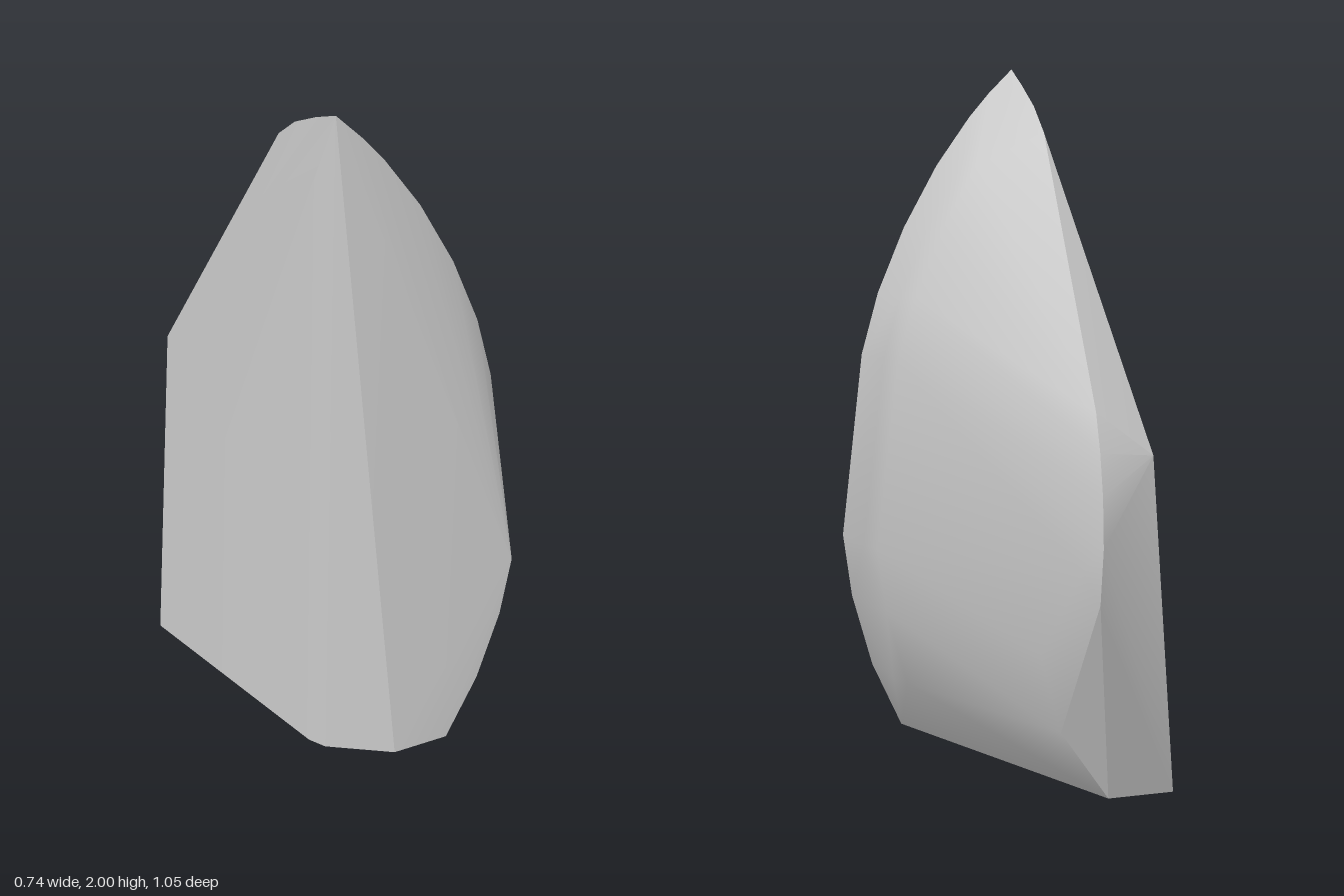
import * as THREE from 'three';
import { ConvexGeometry } from 'three/addons/geometries/ConvexGeometry.js';
import { toCreasedNormals } from 'three/addons/utils/BufferGeometryUtils.js';

export function createModel() {
  const group = new THREE.Group();
  group.name = 'stoneShard';
  const points = [];
  const add = (...list) => list.forEach((p) => points.push(new THREE.Vector3(...p)));

  // Curved leading edge: tip, upper arc, straight part, lower arc
  const edge = [
    [-0.13, 2, 0.405], [-0.06, 1.93, 0.406], [0, 1.86, 0.407], [0.1, 1.72, 0.408],
    [0.2, 1.54, 0.41], [0.28, 1.35, 0.412], [0.33, 1.17, 0.415],
    [0.37, 0.61, 0.523], [0.345, 0.42, 0.521], [0.285, 0.2, 0.518], [0.195, 0, 0.515],
  ];
  add(...edge);

  // Rounded shoulder behind the leading edge, running into the broad side
  for (const [x, y, z] of edge) {
    if (y > 1.75 || y === 0) continue;
    add([x - 0.025, y, z - 0.165], [x - 0.05, y, z - 0.235]);
    if (y < 0.5) add([x - 0.05 - 0.474 * (z + 0.065), y, -0.3]);
  }

  // Base outline
  add([0.03, 0, 0.505], [-0.14, 0, 0.395], [-0.17, 0, 0.35], [-0.37, 0, -0.305], [-0.18, 0, -0.3]);

  // Sloping top ridge
  add([-0.125, 1.95, 0.295], [-0.12, 1.885, 0.17], [-0.115, 1.81, 0.068]);

  // Rounded back edge and the corner of the flat side
  add(
    [-0.085, 1.09, -0.435], [-0.08, 0.99, -0.48], [-0.077, 0.88, -0.51], [-0.075, 0.75, -0.523],
    [-0.073, 0.6, -0.508], [-0.04, 0.68, -0.467], [-0.245, 0.97, -0.435],
  );

  const shard = new THREE.Mesh(
    toCreasedNormals(new ConvexGeometry(points), 0.4),
    new THREE.MeshStandardMaterial({ color: 0xcccccc }),
  );
  shard.name = 'shard';
  group.add(shard);
  return group;
}
